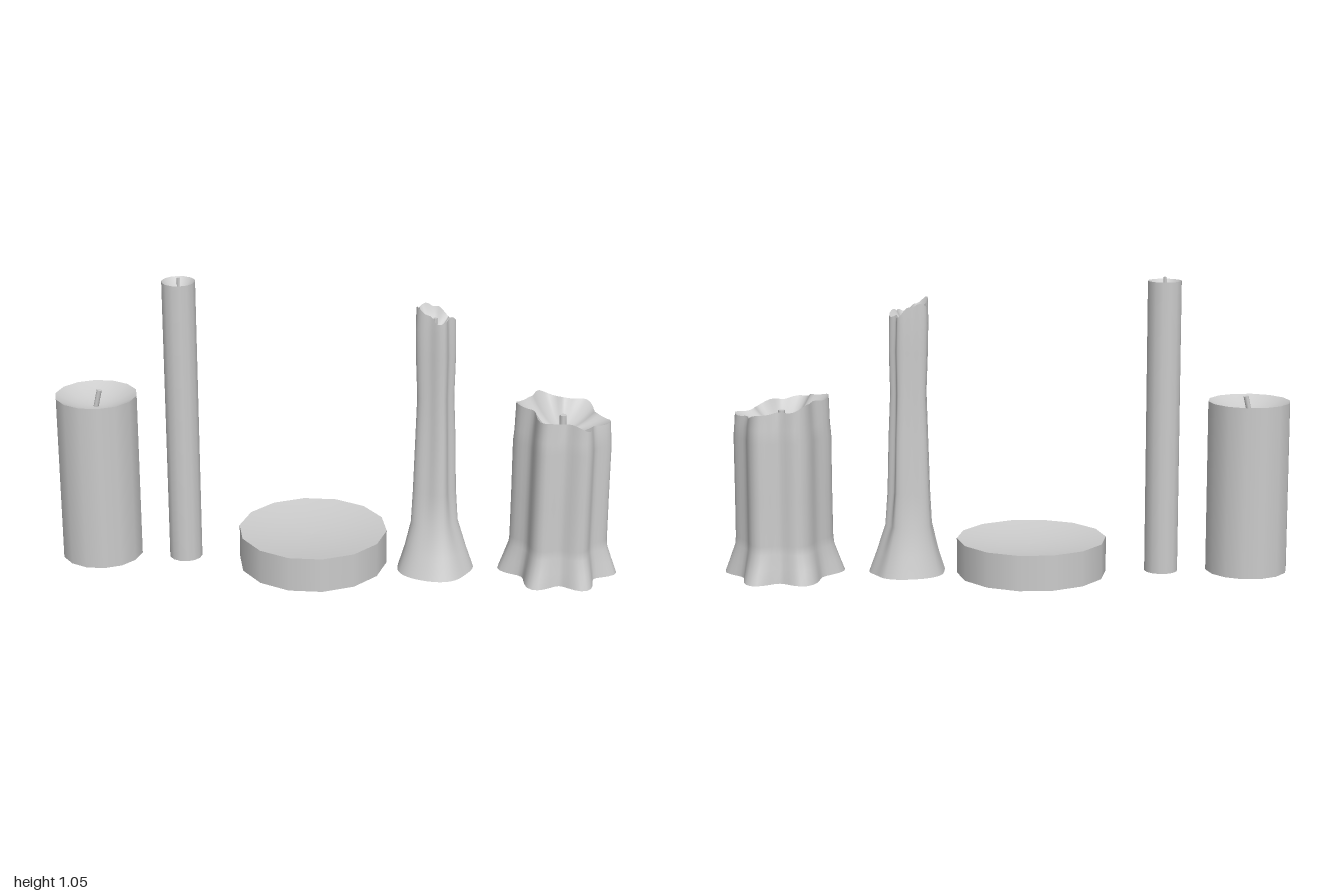
import * as THREE from 'three';

const wax = new THREE.MeshStandardMaterial({ color: 0xcccccc, side: THREE.DoubleSide });
const SIDES = 14;

function addMesh(parent, name, geometry) {
  const mesh = new THREE.Mesh(geometry, wax);
  mesh.name = name;
  parent.add(mesh);
  return mesh;
}

function lathe(points) {
  return new THREE.LatheGeometry(points.map(([r, y]) => new THREE.Vector2(r, y)), SIDES, Math.PI / 2);
}

// Short cylinder between two points
function addWick(parent, from, to, radius) {
  const a = new THREE.Vector3(...from), b = new THREE.Vector3(...to);
  const wick = addMesh(parent, 'wick', new THREE.CylinderGeometry(radius, radius, a.distanceTo(b), 8));
  wick.position.copy(a).add(b).multiplyScalar(0.5);
  wick.quaternion.setFromUnitVectors(new THREE.Vector3(0, 1, 0), b.sub(a).normalize());
}

// Round candle: straight wall, hollowed top, optional closed base
function roundCandle(name, x, radius, height, dip, closed) {
  const group = new THREE.Group();
  group.name = name;
  group.position.x = x;
  addMesh(group, 'wall', lathe([[radius, 0], [radius, height]]));
  const bowl = [1, 0.97, 0.8, 0.6, 0.4, 0.2, 0].map(s => [radius * s, height - dip * (1 - s * s)]);
  addMesh(group, 'hollowTop', lathe(bowl));
  if (closed) addMesh(group, 'base', lathe([[0, 0], [radius, 0]]));
  return group;
}

// Closed rings of points joined into a smooth surface
function loft(rings) {
  const n = rings[0].length, index = [];
  for (let i = 0; i < rings.length - 1; i++) {
    for (let j = 0; j < n; j++) {
      const a = i * n + j, b = i * n + (j + 1) % n;
      index.push(a, a + n, b, b, a + n, b + n);
    }
  }
  const geometry = new THREE.BufferGeometry();
  geometry.setAttribute('position', new THREE.Float32BufferAttribute(rings.flat(2), 3));
  geometry.setIndex(index);
  geometry.computeVertexNormals();
  return geometry;
}

// Melted candle: ridges at the given angles, sections of [y, ridge radius, valley radius, x, z],
// an uneven sloping rim and a hollow inside it
function meltedCandle(name, { ridges, sections, rimHeight, floor }) {
  const group = new THREE.Group();
  group.name = name;
  const steps = 10, samples = [];
  ridges.forEach((start, i) => {
    const end = i + 1 < ridges.length ? ridges[i + 1] : ridges[0] + 360;
    for (let k = 0; k < steps; k++) {
      const t = k / steps;
      samples.push({
        angle: THREE.MathUtils.degToRad(start + (end - start) * t),
        ridge: (1 + Math.cos(2 * Math.PI * t)) / 2,
      });
    }
  });

  const rings = sections.map(([y, peak, valley, cx, cz]) => samples.map(({ angle, ridge }) => {
    const r = valley + (peak - valley) * ridge;
    return [cx + r * Math.cos(angle), y, cz + r * Math.sin(angle)];
  }));
  const rim = rings[rings.length - 1];
  const [, , , cx, cz] = sections[sections.length - 1];
  rim.forEach((p, j) => { p[1] = rimHeight(p[0] - cx, samples[j].angle); });
  addMesh(group, 'wall', loft(rings));

  const bowl = [1, 0.95, 0.85, 0.7, 0.5, 0.3, 0.15, 0].map(s => rim.map(([x, y, z]) => [
    cx + (x - cx) * s,
    floor + (y - floor) * s * s,
    cz + (z - cz) * s,
  ]));
  addMesh(group, 'hollowTop', loft(bowl));
  return group;
}

export function createModel() {
  const model = new THREE.Group();
  model.name = 'candleSet';

  // Wide pillar candle
  const pillar = roundCandle('pillarCandle', -0.855, 0.145, 0.61, 0.045, true);
  addWick(pillar, [-0.003, 0.56, 0], [0.012, 0.627, 0], 0.009);
  model.add(pillar);

  // Tall thin candle
  const taper = roundCandle('thinCandle', -0.55, 0.059, 1.037, 0.04, true);
  addWick(taper, [0, 0.995, 0], [0, 1.05, 0], 0.005);
  model.add(taper);

  // Low dish, open underneath
  model.add(roundCandle('lowDish', -0.088, 0.265, 0.125, 0.025, false));

  // Tall melted candle with a spreading foot
  const tall = meltedCandle('tallMeltedCandle', {
    ridges: [-5, 62, 150, 218, 305],
    sections: [
      [0.005, 0.138, 0.13, 0.35, 0.022],
      [0.08, 0.113, 0.105, 0.348, 0.015],
      [0.18, 0.086, 0.075, 0.343, 0.006],
      [0.3, 0.079, 0.063, 0.341, 0.002],
      [0.5, 0.073, 0.056, 0.341, 0],
      [0.65, 0.067, 0.053, 0.34, 0],
      [0.8, 0.072, 0.056, 0.338, 0],
      [0.9, 0.072, 0.055, 0.336, 0],
      [0.95, 0.071, 0.053, 0.336, 0],
    ],
    rimHeight: (x, a) => 0.948 - 0.35 * x + 0.01 * Math.sin(3 * a + 0.5) + 0.005 * Math.sin(8 * a),
    floor: 0.885,
  });
  addWick(tall, [0.336, 0.875, 0], [0.336, 0.932, 0], 0.007);
  model.add(tall);

  // Broad melted candle with a scalloped foot
  const broad = meltedCandle('broadMeltedCandle', {
    ridges: [8, 61, 114, 172, 246, 300],
    sections: [
      [0.01, 0.213, 0.157, 0.785, 0],
      [0.06, 0.194, 0.15, 0.785, 0],
      [0.11, 0.176, 0.142, 0.785, 0],
      [0.14, 0.173, 0.14, 0.785, 0],
      [0.3, 0.172, 0.139, 0.785, 0],
      [0.5, 0.172, 0.138, 0.785, 0],
      [0.545, 0.168, 0.135, 0.785, 0],
      [0.6, 0.165, 0.128, 0.785, 0],
    ],
    rimHeight: (x, a) => 0.608 - 0.2 * x + 0.005 * Math.sin(5 * a + 1) + 0.003 * Math.sin(11 * a),
    floor: 0.53,
  });
  addWick(broad, [0.785, 0.52, 0], [0.785, 0.592, 0], 0.012);
  model.add(broad);

  return model;
}
